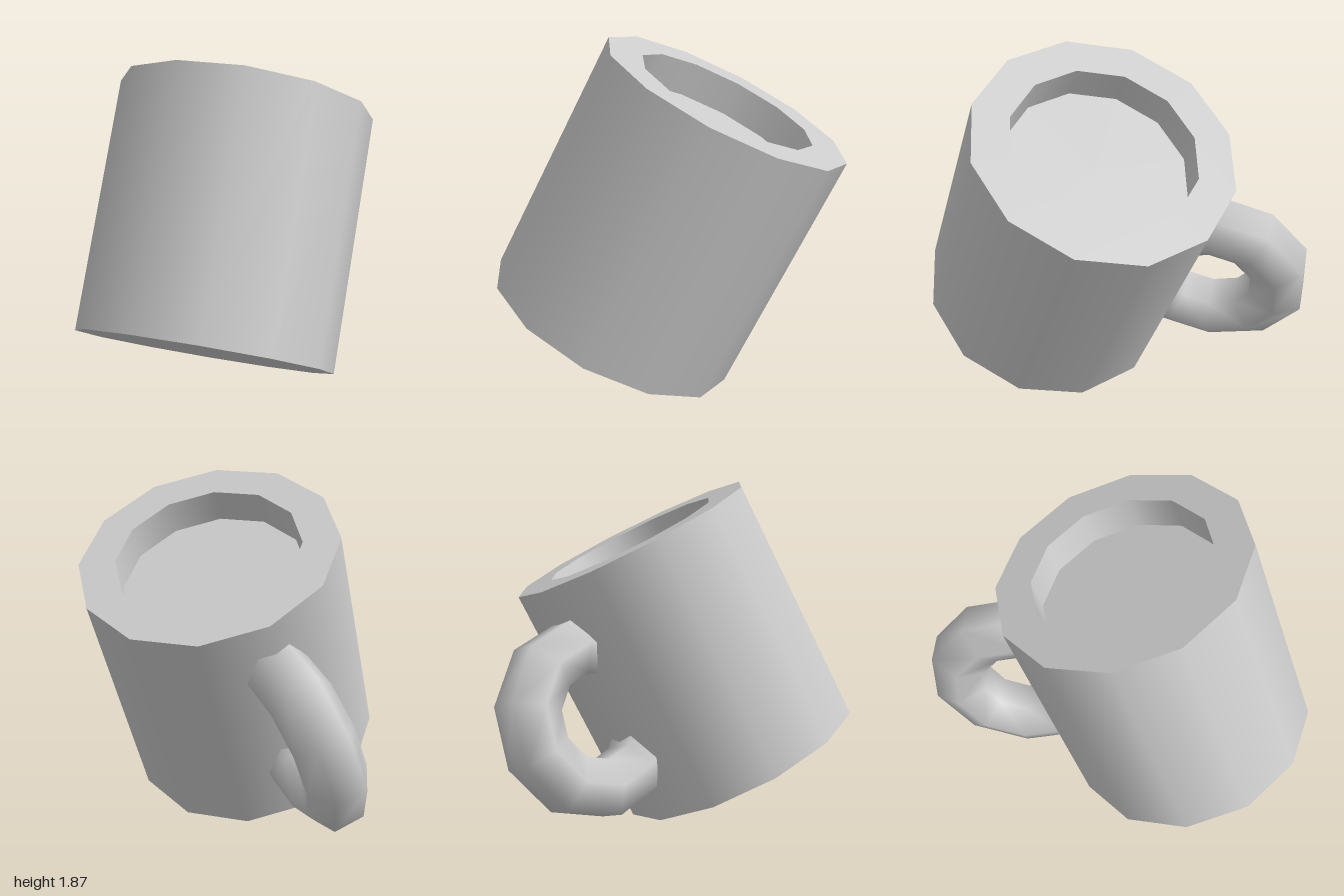
import * as THREE from 'three';

const SIDES = 12, RADIUS = 0.705, INNER = 0.503, HEIGHT = 1.406, DEPTH = 0.19;

// Circular arc for the handle, bulging towards local -x
class HandleArc extends THREE.Curve {
  getPoint(t, target = new THREE.Vector3()) {
    const a = Math.PI * (0.2 + 1.6 * t);
    return target.set(-0.8 + 0.385 * Math.cos(a), 0.385 * Math.sin(a), 0);
  }
}

export function createModel() {
  const grey = new THREE.MeshStandardMaterial({ color: 0xcccccc });
  const inside = new THREE.MeshStandardMaterial({ color: 0xcccccc, side: THREE.BackSide });
  const mug = new THREE.Group();
  mug.name = 'mug';

  const add = (name, geometry, y = 0, material = grey) => {
    const mesh = new THREE.Mesh(geometry, material);
    mesh.name = name;
    mesh.position.y = y;
    mug.add(mesh);
  };
  const top = HEIGHT / 2;

  // Body: outer wall, base, flat rim, shallow recess and its floor
  add('outerWall', new THREE.CylinderGeometry(RADIUS, RADIUS, HEIGHT, SIDES, 1, true));
  add('base', new THREE.CircleGeometry(RADIUS, SIDES).rotateX(Math.PI / 2), -top);
  add('rim', new THREE.RingGeometry(INNER, RADIUS, SIDES).rotateX(-Math.PI / 2), top);
  add('innerWall', new THREE.CylinderGeometry(INNER, INNER, DEPTH, SIDES, 1, true), top - DEPTH / 2, inside);
  add('innerFloor', new THREE.CircleGeometry(INNER, SIDES).rotateX(-Math.PI / 2), top - DEPTH);

  // Handle: six-sided tube whose ends sink into the body
  add('handle', new THREE.TubeGeometry(new HandleArc(), 8, 0.173, 6, false));

  // Tilt the whole mug: local y is its axis, local -x points to the handle
  const axis = new THREE.Vector3(-0.1244, 0.896, -0.4266).normalize();
  const z = new THREE.Vector3(0.876, 0.301, 0.377).cross(axis).normalize();
  const x = new THREE.Vector3().crossVectors(axis, z);
  mug.quaternion.setFromRotationMatrix(new THREE.Matrix4().makeBasis(x, axis, z));
  mug.position.set(0.212, 0.936, -0.005);

  const model = new THREE.Group();
  model.name = 'tiltedMug';
  model.add(mug);
  return model;
}
